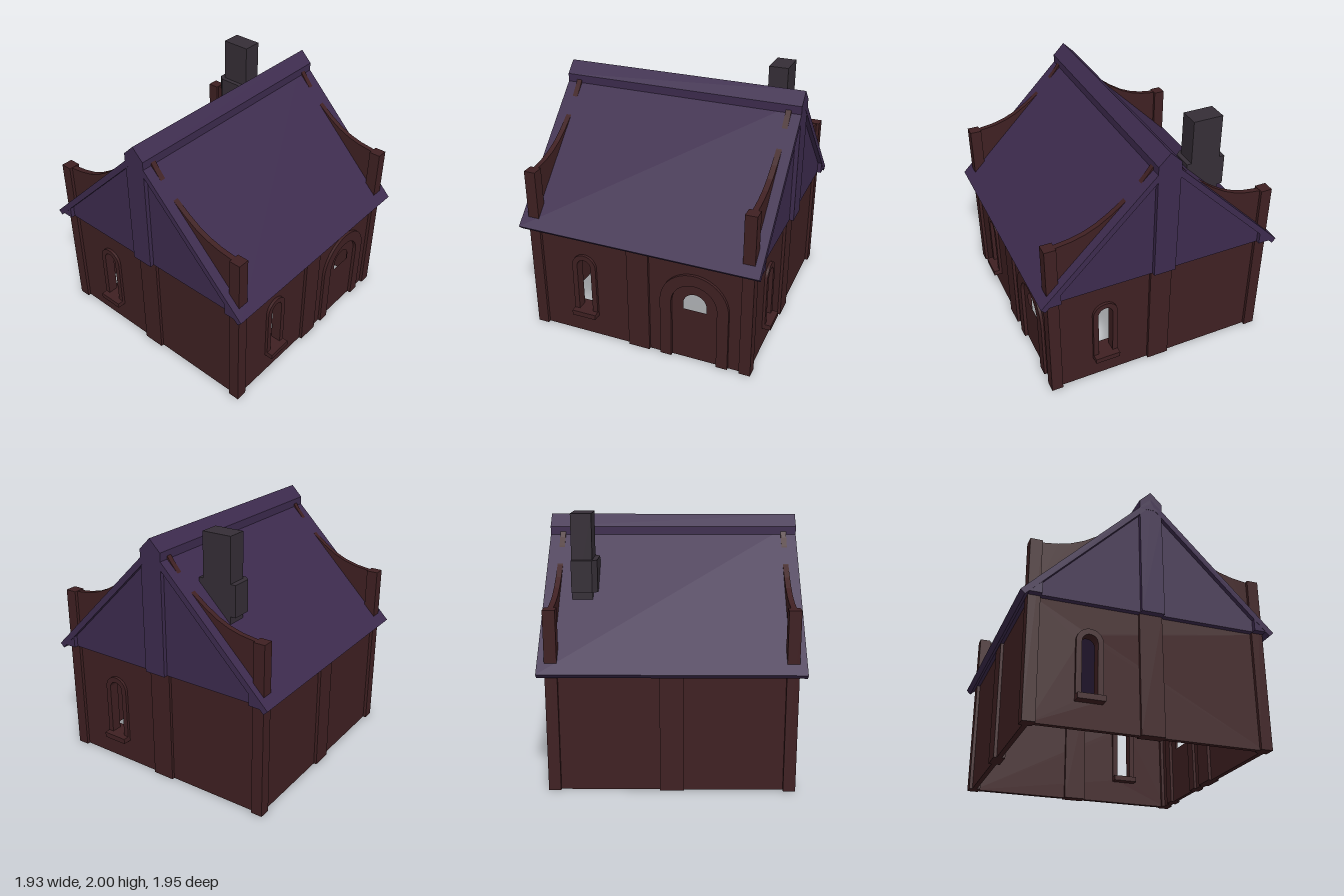
import * as THREE from 'three';

const brick = new THREE.MeshStandardMaterial({ color: 0x3f2022 });
brick.name = 'dark red brick';
const slate = new THREE.MeshStandardMaterial({ color: 0x3d2b4e });
slate.name = 'purple slate';
const soot = new THREE.MeshStandardMaterial({ color: 0x352e36 });
soot.name = 'sooty stone';
for (const m of [brick, slate, soot]) m.flatShading = true;

function add(parent, name, geometry, material) {
  const mesh = new THREE.Mesh(geometry, material);
  mesh.name = name;
  parent.add(mesh);
  return mesh;
}

// Box given by its minimum and maximum corners
function box(parent, name, material, [x0, y0, z0], [x1, y1, z1]) {
  const g = new THREE.BoxGeometry(x1 - x0, y1 - y0, z1 - z0);
  g.translate((x0 + x1) / 2, (y0 + y1) / 2, (z0 + z1) / 2);
  return add(parent, name, g, material);
}

const polygon = (pts) => new THREE.Shape(pts.map(([a, b]) => new THREE.Vector2(a, b)));

// Shape in the x, y plane pushed from z0 to z1
function extrudeZ(shape, z0, z1) {
  const g = new THREE.ExtrudeGeometry(shape, { depth: z1 - z0, bevelEnabled: false, curveSegments: 20 });
  return g.translate(0, 0, z0);
}

// Profile of [z, y] points pushed from x0 to x1
function extrudeX(pts, x0, x1) {
  const g = extrudeZ(polygon(pts), 0, x1 - x0);
  return g.rotateY(-Math.PI / 2).translate(x1, 0, 0);
}

// Round-headed outline, standing on y0 and springing at cy
function arch(path, cx, cy, r, y0) {
  path.moveTo(cx - r, y0);
  path.lineTo(cx - r, cy);
  path.absarc(cx, cy, r, Math.PI, 0, true);
  path.lineTo(cx + r, y0);
  path.closePath();
  return path;
}

// Round-headed surround, open at the foot
function surround(cx, cy, rOut, rIn, y0) {
  const s = new THREE.Shape();
  s.moveTo(cx - rOut, y0);
  s.lineTo(cx - rOut, cy);
  s.absarc(cx, cy, rOut, Math.PI, 0, true);
  s.lineTo(cx + rOut, y0);
  s.lineTo(cx + rIn, y0);
  s.lineTo(cx + rIn, cy);
  s.absarc(cx, cy, rIn, 0, Math.PI, false);
  s.lineTo(cx - rIn, y0);
  s.closePath();
  return s;
}

const WIN = -0.456, DOOR = 0.454, EAVE = 0.912;

// One side of the house, built facing +z
function makeSide(name, angle, hasWindow, hasDoor) {
  const side = new THREE.Group();
  side.name = name;
  const wall = new THREE.Shape();
  wall.moveTo(-0.86, 0);
  if (hasDoor) {
    wall.lineTo(DOOR - 0.2, 0);
    wall.lineTo(DOOR - 0.2, 0.5);
    wall.absarc(DOOR, 0.5, 0.2, Math.PI, 0, true);
    wall.lineTo(DOOR + 0.2, 0);
  }
  wall.lineTo(0.86, 0);
  wall.lineTo(0.86, EAVE);
  wall.lineTo(-0.86, EAVE);
  wall.closePath();
  if (hasWindow) wall.holes.push(arch(new THREE.Path(), WIN, 0.626, 0.07, 0.2));
  add(side, 'wall', extrudeZ(wall, 0.847, 0.885), brick);
  box(side, 'middlePost', brick, [-0.088, 0, 0.822], [0.088, EAVE, 0.908]);
  if (hasWindow) {
    add(side, 'windowSurround', extrudeZ(surround(WIN, 0.626, 0.1, 0.058, 0.2), 0.825, 0.907), brick);
    box(side, 'windowSill', brick, [WIN - 0.1, 0.185, 0.78], [WIN + 0.1, 0.227, 0.955]);
  }
  if (hasDoor) {
    add(side, 'doorSurround', extrudeZ(surround(DOOR, 0.5, 0.273, 0.183, 0), 0.825, 0.907), brick);
    const door = arch(new THREE.Shape(), DOOR, 0.5, 0.19, 0);
    door.holes.push(arch(new THREE.Path(), DOOR, 0.5, 0.092, 0.45));
    add(side, 'door', extrudeZ(door, 0.85, 0.88), brick);
  }
  side.rotation.y = angle;
  return side;
}

export function createModel() {
  const house = new THREE.Group();
  house.name = 'house';
  const W = 0.963;

  house.add(makeSide('frontSide', 0, true, true));
  house.add(makeSide('rightSide', Math.PI / 2, true, false));
  house.add(makeSide('backSide', Math.PI, false, false));
  house.add(makeSide('leftSide', -Math.PI / 2, true, false));

  // Corner posts rise through the roof; curved parapets climb from them to the ridge
  const curve = [[0.83, 1.36], [0.7, 1.378], [0.6, 1.405], [0.5, 1.449], [0.4, 1.512],
    [0.3, 1.588], [0.235, 1.645], [0.17, 1.718], [0.12, 1.778], [0.08, 1.835]];
  for (const sx of [-1, 1]) {
    // Upper timbers stand out from the gable as far as the roof's edge
    const [t0, t1] = sx > 0 ? [0.85, W - 0.002] : [0.002 - W, -0.85];
    for (const sz of [-1, 1]) {
      const cx = sx * 0.865, cz = sz * 0.865;
      box(house, 'cornerPost', brick, [cx - 0.045, 0, cz - 0.045], [cx + 0.045, 1.365, cz + 0.045]);
      const parapet = [...curve, [0.08, 1.77], [0.83, 1.02]].map(([z, y]) => [z * sz, y]);
      add(house, 'parapet', extrudeX(parapet, cx - 0.021, cx + 0.021), brick);
      const foot = [[0.912, EAVE], [0.82, 1.004], [0.82, EAVE]].map(([z, y]) => [z * sz, y]);
      add(house, 'gableCorner', extrudeX(foot, t0, t1), slate);
    }
    const post = [[-0.088, EAVE], [0.088, EAVE], [0.088, 1.738], [0, 1.826], [-0.088, 1.738]];
    add(house, 'gablePost', extrudeX(post, t0, t1), slate);
  }

  // Closed attic: gable ends, set a little proud of the walls, and ceiling
  add(house, 'attic', extrudeX([[-0.912, EAVE], [0.912, EAVE], [0, 1.824]], -0.928, 0.928), slate);

  // Roof slopes and ridge cap
  add(house, 'roof', extrudeX([[0.974, 0.913], [0, 1.887], [-0.974, 0.913],
    [-0.942, 0.881], [0, 1.823], [0.942, 0.881]], -W, W), slate);
  add(house, 'ridgeCap', extrudeX([[0.09, 1.79], [0.09, 1.86], [0, 1.95],
    [-0.09, 1.86], [-0.09, 1.79]], -W, W), slate);

  // Chimney with a chamfered collar
  box(house, 'chimneyStack', soot, [0.593, 1.25, -0.525], [0.747, 2, -0.293]);
  const collar = polygon([[0.747, 0.257], [0.747, 0.567], [0.593, 0.567],
    [0.556, 0.525], [0.556, 0.3], [0.593, 0.257]]);
  const collarGeometry = extrudeZ(collar, 1.42, 1.66).rotateX(-Math.PI / 2);
  add(house, 'chimneyCollar', collarGeometry, soot);

  return house;
}
